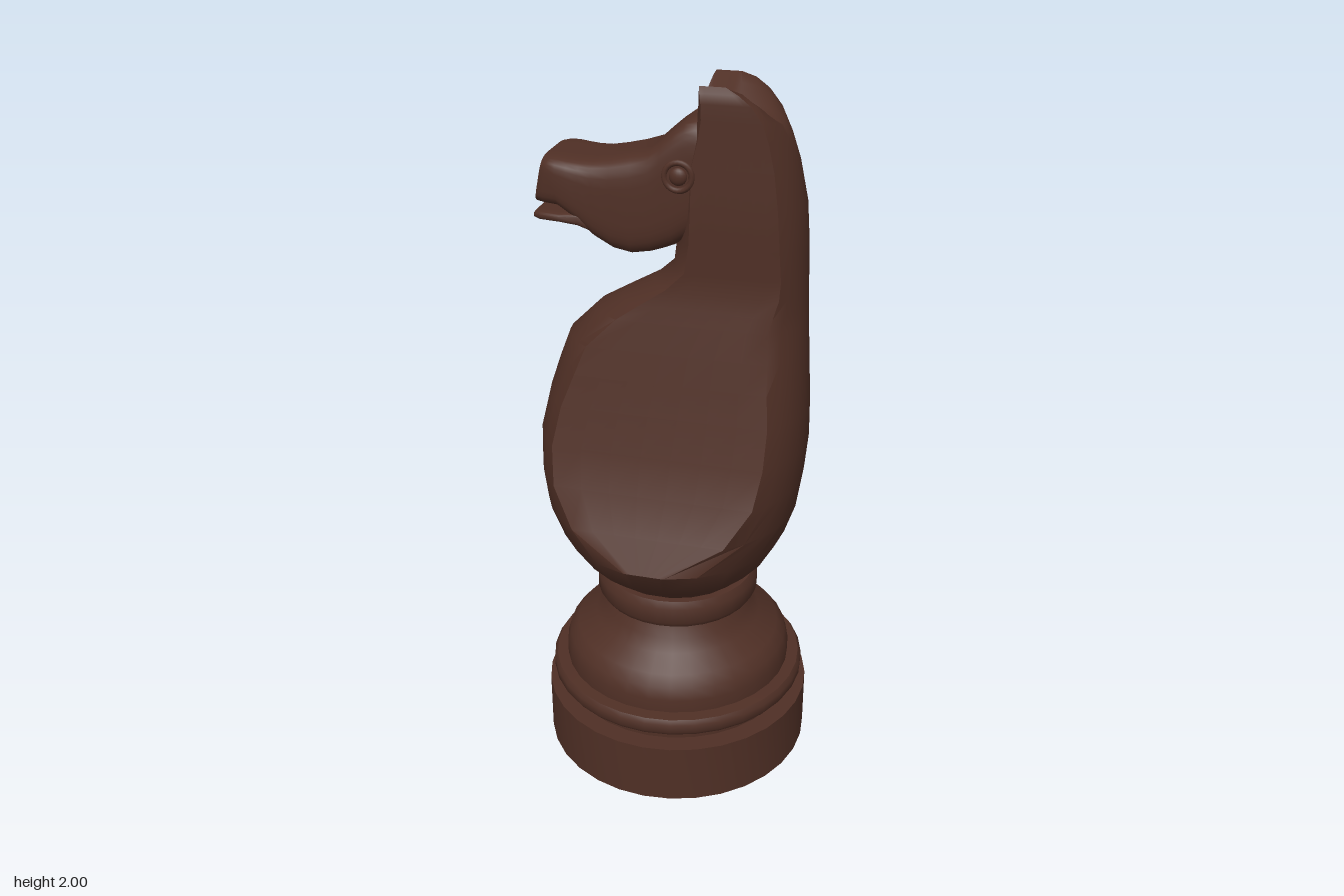
import * as THREE from 'three';
import { toCreasedNormals } from 'three/addons/utils/BufferGeometryUtils.js';

const V = (x, y, z) => new THREE.Vector3(x, y, z);

// Skins a list of closed rings and caps both ends
function loft(rings, crease) {
  const n = rings[0].length, pos = [], idx = [];
  rings.forEach(r => r.forEach(p => pos.push(p.x, p.y, p.z)));
  for (let i = 0; i < rings.length - 1; i++) {
    for (let j = 0; j < n; j++) {
      const k = (j + 1) % n, a = i * n + j, b = i * n + k;
      idx.push(a, a + n, b, b, a + n, b + n);
    }
  }
  [0, rings.length - 1].forEach((r, end) => {
    const c = V(0, 0, 0);
    rings[r].forEach(p => c.addScaledVector(p, 1 / n));
    const ci = pos.length / 3;
    pos.push(c.x, c.y, c.z);
    for (let j = 0; j < n; j++) {
      const a = r * n + j, b = r * n + (j + 1) % n;
      if (end) idx.push(ci, b, a); else idx.push(ci, a, b);
    }
  });
  const g = new THREE.BufferGeometry();
  g.setAttribute('position', new THREE.Float32BufferAttribute(pos, 3));
  g.setIndex(idx);
  return toCreasedNormals(g, crease);
}

// Level ellipse from x0 to x1, half depth b, cut flat at z = +-w; a groove parts the ears
function bodyRing([y, x0, x1, b, w]) {
  const cx = (x0 + x1) / 2, a = (x1 - x0) / 2, pts = [];
  const tc = Math.asin(Math.min(w / b, 0.985)), flat = a * Math.cos(tc), wz = b * Math.sin(tc);
  const N = 10, M = 7;
  for (const side of [1, -1]) {
    for (let i = 0; i <= N; i++) {
      const t = -tc + 2 * tc * i / N;
      pts.push(V(cx + side * a * Math.cos(t), y, side * b * Math.sin(t)));
    }
    for (let i = 1; i < M; i++) pts.push(V(cx + side * flat * (1 - 2 * i / M), y, side * wz));
  }
  const k = THREE.MathUtils.smoothstep(y, 1.86, 2);
  pts.forEach(p => { p.y -= 0.06 * k * Math.max(0, 1 - Math.abs(p.z) / 0.088); });
  return pts;
}

// Upright rounded rectangle for the head; tilt pushes the top along x
function headRing([x, yb, yt, w, tilt = 0]) {
  const pts = [], N = 32, soft = v => Math.sign(v) * Math.abs(v) ** 0.42;
  for (let i = 0; i < N; i++) {
    const t = (i + 0.5) / N * Math.PI * 2, s = soft(Math.sin(t));
    pts.push(V(x + tilt * (s + 1) / 2, (yb + yt) / 2 + s * (yt - yb) / 2, w * soft(Math.cos(t))));
  }
  return pts;
}

export function createModel() {
  const model = new THREE.Group();
  const wood = new THREE.MeshStandardMaterial({ color: 0x4f2f25 });
  wood.name = 'dark brown wood';
  const add = (name, geo) => {
    const m = new THREE.Mesh(geo, wood);
    m.name = name;
    model.add(m);
    return m;
  };

  // Turned base, hollow underneath: inside going down, then outside going up
  const profile = [
    [0, 0.5], [0.18, 0.5], [0.2, 0.42], [0.28, 0.37], [0.315, 0.3], [0.315, 0.18], [0.35, 0.17], [0.35, 0],
    [0.392, 0], [0.392, 0.18], [0.337, 0.18], [0.337, 0.217], [0.368, 0.217], [0.377, 0.23], [0.377, 0.255],
    [0.368, 0.268], [0.335, 0.27], [0.335, 0.31], [0.325, 0.345], [0.3, 0.375], [0.245, 0.41], [0.22, 0.445],
    [0.2, 0.49], [0.225, 0.49], [0.236, 0.507], [0.236, 0.553], [0.225, 0.574], [0, 0.576],
  ].map(p => new THREE.Vector2(...p));
  add('base', toCreasedNormals(new THREE.LatheGeometry(profile, 32), 0.7));

  // Body, neck and ears: [y, front x, back x, round half depth, flat half depth]
  const rows = [
    [0.565, -0.195, 0.195, 0.195, 0.195],
    [0.59, -0.235, 0.22, 0.225, 0.225],
    [0.64, -0.28, 0.27, 0.285, 0.285],
    [0.72, -0.335, 0.315, 0.335, 0.335],
    [0.81, -0.372, 0.345, 0.355, 0.285],
    [0.91, -0.386, 0.36, 0.355, 0.235],
    [1.02, -0.386, 0.37, 0.33, 0.207],
    [1.13, -0.36, 0.369, 0.29, 0.18],
    [1.22, -0.33, 0.365, 0.25, 0.162],
    [1.3, -0.3, 0.361, 0.22, 0.146],
    [1.38, -0.22, 0.357, 0.185, 0.13],
    [1.42, -0.15, 0.355, 0.175, 0.122],
    [1.47, -0.06, 0.353, 0.165, 0.113],
    [1.52, -0.005, 0.351, 0.16, 0.112],
    [1.6, 0.005, 0.348, 0.16, 0.116],
    [1.7, 0.01, 0.34, 0.16, 0.117],
    [1.8, 0.02, 0.318, 0.16, 0.113],
    [1.87, 0.045, 0.293, 0.16, 0.111],
    [1.92, 0.058, 0.27, 0.16, 0.11],
    [1.96, 0.062, 0.235, 0.16, 0.109],
    [1.985, 0.065, 0.195, 0.16, 0.106],
    [2, 0.067, 0.155, 0.14, 0.092],
    [2, 0.067, 0.155, 0.13, 0.084],
    [2, 0.067, 0.155, 0.002, 0.0015],
  ];
  add('bodyAndNeck', loft(rows.map(bodyRing), 0.75));

  // Head: [x, bottom y, top y, half width, tilt]
  add('head', loft([
    [-0.36, 1.67, 1.798, 0.102, 0.026],
    [-0.335, 1.67, 1.8, 0.117, 0.018],
    [-0.295, 1.667, 1.8, 0.121],
    [-0.265, 1.645, 1.797, 0.12],
    [-0.235, 1.62, 1.795, 0.118],
    [-0.2, 1.588, 1.796, 0.117],
    [-0.15, 1.56, 1.805, 0.12],
    [-0.1, 1.55, 1.817, 0.12],
    [-0.05, 1.558, 1.834, 0.117],
    [-0.02, 1.568, 1.862, 0.116],
    [0.01, 1.58, 1.888, 0.115],
    [0.04, 1.6, 1.91, 0.113],
    [0.07, 1.62, 1.918, 0.111],
    [0.16, 1.65, 1.88, 0.1],
  ].map(headRing), 0.75));

  // Lower lip below the open mouth
  add('lowerLip', loft([
    [-0.365, 1.63, 1.647, 0.092],
    [-0.345, 1.628, 1.654, 0.108],
    [-0.29, 1.627, 1.654, 0.115],
    [-0.24, 1.62, 1.66, 0.115],
    [-0.18, 1.59, 1.66, 0.1],
  ].map(headRing), 0.75));

  // Eyes: a raised ring around a small ball, on both sides
  for (const s of [1, -1]) {
    const ring = add(s > 0 ? 'frontEyeRing' : 'backEyeRing', new THREE.TorusGeometry(0.036, 0.008, 8, 24));
    ring.position.set(0.03, 1.776, s * 0.113);
    const ball = add(s > 0 ? 'frontEyeball' : 'backEyeball', new THREE.SphereGeometry(0.024, 16, 12));
    ball.position.set(0.03, 1.776, s * 0.11);
    ball.scale.z = 0.6;
  }
  return model;
}
